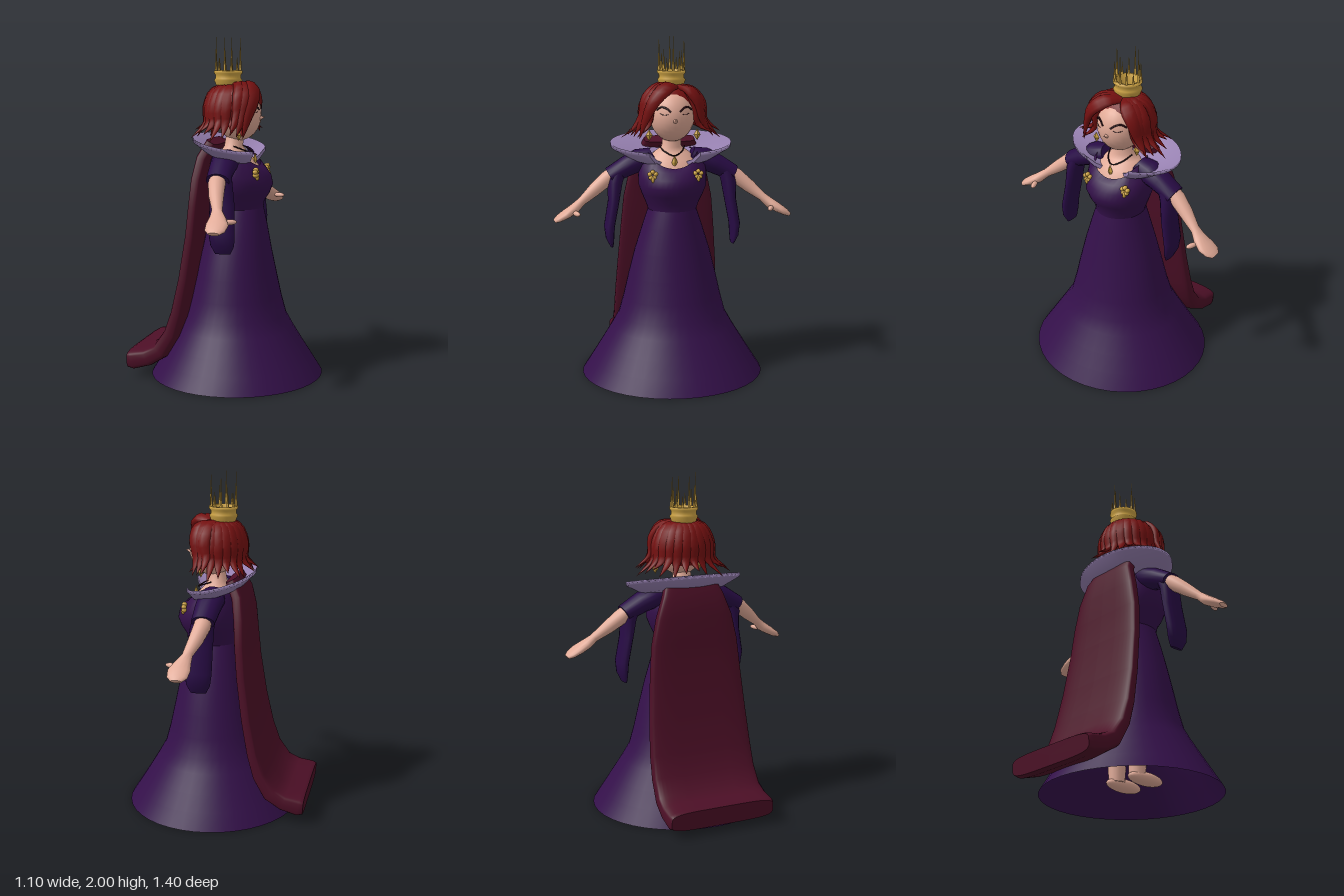
import * as THREE from 'three';

const V = (x, y, z) => new THREE.Vector3(x, y, z);
const mat = (name, color, side = THREE.FrontSide) => {
  const m = new THREE.MeshStandardMaterial({ color, side });
  m.name = name;
  return m;
};

// One closed cross-section: centre c, half-axes u and v, p < 1 squares it off
function ring(c, u, v, n = 16, p = 1) {
  const f = (t) => Math.sign(t) * Math.abs(t) ** p;
  return Array.from({ length: n }, (_, i) => {
    const a = (i / n) * Math.PI * 2;
    return c.clone().addScaledVector(u, f(Math.cos(a))).addScaledVector(v, f(Math.sin(a)));
  });
}

// Skin over a row of cross-sections, turned so that faces point outwards
function loft(rings, caps = true) {
  const n = rings[0].length, pts = rings.flat(), idx = [];
  for (let r = 0; r + 1 < rings.length; r++)
    for (let i = 0; i < n; i++) {
      const a = r * n + i, b = r * n + ((i + 1) % n);
      idx.push(a, b, a + n, b, b + n, a + n);
    }
  if (caps) {
    [0, rings.length - 1].forEach((r, end) => {
      const base = pts.length;
      const mid = rings[r].reduce((s, q) => s.add(q), V(0, 0, 0)).divideScalar(n);
      pts.push(...rings[r].map((q) => q.clone()), mid);
      for (let i = 0; i < n; i++) {
        const a = base + i, b = base + ((i + 1) % n);
        if (end) idx.push(base + n, a, b); else idx.push(base + n, b, a);
      }
    });
  }
  const centre = pts.reduce((s, q) => s.add(q), V(0, 0, 0)).divideScalar(pts.length);
  let volume = 0;
  for (let i = 0; i < idx.length; i += 3) {
    const [a, b, c] = [0, 1, 2].map((k) => pts[idx[i + k]].clone().sub(centre));
    volume += a.dot(b.cross(c));
  }
  if (volume < 0) idx.reverse();
  const g = new THREE.BufferGeometry().setFromPoints(pts);
  g.setIndex(idx);
  g.computeVertexNormals();
  return g;
}

// Level elliptical sections: [y, centre x, half depth, half width]
const stack = (rows, n = 40) => rows.map(([y, x, rx, rz]) => ring(V(x, y, 0), V(rx, 0, 0), V(0, 0, rz), n));

export function createModel() {
  const model = new THREE.Group();
  model.name = 'queen';
  const purple = mat('gown purple', 0x34104a, THREE.DoubleSide);
  const sleevePurple = mat('sleeve purple', 0x280b45);
  const wine = mat('cape wine', 0x4c0f26);
  const lavender = mat('collar lavender', 0x9680b0, THREE.DoubleSide);
  const skin = mat('skin', 0xe2ab98);
  const red = mat('hair red', 0x741010);
  const gold = mat('gold', 0xcda344);
  const dark = mat('dark line', 0x260810);
  const add = (name, geo, m, parent = model) => {
    const mesh = new THREE.Mesh(geo, m);
    mesh.name = name;
    parent.add(mesh);
    return mesh;
  };
  const ball = (name, m, x, y, z, rx, ry, rz) => {
    const b = add(name, new THREE.SphereGeometry(1, 24, 16), m);
    b.position.set(x, y, z);
    b.scale.set(rx, ry, rz);
    return b;
  };
  const tube = (name, pts, r, m) => add(name, new THREE.TubeGeometry(new THREE.CatmullRomCurve3(pts), 20, r, 6), m);

  // Open bell skirt
  add('skirt', loft(stack([
    [0, 0.043, 0.51, 0.54], [0.09, 0.042, 0.455, 0.483], [0.18, 0.04, 0.4, 0.427], [0.28, 0.037, 0.343, 0.365],
    [0.36, 0.036, 0.3, 0.32], [0.47, 0.038, 0.268, 0.29], [0.6, 0.04, 0.238, 0.26], [0.75, 0.042, 0.205, 0.222],
    [0.9, 0.045, 0.176, 0.175], [1, 0.045, 0.155, 0.142],
  ]), false), purple);

  // Bodice, with a neckline that rises to the shoulders and back
  const bodice = stack([
    [0.99, 0.045, 0.153, 0.14], [1.04, 0.045, 0.158, 0.158], [1.09, 0.055, 0.18, 0.18],
    [1.14, 0.06, 0.194, 0.198], [1.19, 0.055, 0.188, 0.2], [1.23, 0.045, 0.165, 0.195], [1.25, 0.035, 0.14, 0.175],
  ]);
  [[5, 0.03], [6, 0.09]].forEach(([r, lift]) => bodice[r].forEach((q, i) => {
    const c = Math.cos((i / 40) * Math.PI * 2);
    q.y += lift * (c > 0 ? 1 - c * c : 1);
    if (r === 6 && c < 0.7) q.z *= 0.85;
  }));
  add('bodice', loft(bodice, false), purple);

  // Chest and neck
  add('chestAndNeck', loft(stack([
    [1.18, 0.04, 0.15, 0.16], [1.24, 0.035, 0.138, 0.165], [1.29, 0.025, 0.11, 0.14],
    [1.33, 0.02, 0.075, 0.1], [1.36, 0.02, 0.055, 0.058], [1.45, 0.03, 0.05, 0.05],
  ], 28)), skin);

  // Cape: [x, y, half width, half thickness] from shoulders to train
  const path = [
    [-0.08, 1.39, 0.15, 0.035], [-0.125, 1.3, 0.19, 0.038], [-0.145, 1.18, 0.235, 0.038], [-0.155, 1.03, 0.268, 0.036],
    [-0.17, 0.85, 0.285, 0.036], [-0.205, 0.6, 0.305, 0.038], [-0.245, 0.4, 0.318, 0.042], [-0.285, 0.27, 0.322, 0.048],
    [-0.35, 0.165, 0.326, 0.056], [-0.43, 0.12, 0.33, 0.06], [-0.52, 0.1, 0.332, 0.066], [-0.548, 0.098, 0.322, 0.056],
  ];
  add('cape', loft(path.map(([x, y, w, t], i) => {
    const a = path[Math.max(i - 1, 0)], b = path[Math.min(i + 1, path.length - 1)];
    const n = V(b[1] - a[1], a[0] - b[0], 0).normalize().multiplyScalar(t);
    return ring(V(x, y, 0), n, V(0, 0, w), 36, 0.45);
  })), wine);

  // Flared collar, open at the front
  const collar = [];
  for (let i = 0; i <= 40; i++) {
    const a = THREE.MathUtils.degToRad(24 + (i / 40) * 312), c = Math.cos(a), s = Math.sin(a);
    const inner = V(0.025 + 0.085 * c, 1.3 - 0.035 * c, 0.1 * s);
    const outer = V(-0.005 + 0.197 * c, 1.385 - 0.045 * c, 0.357 * s);
    const mid = inner.clone().lerp(outer, 0.6).add(V(0, -0.015, 0));
    const low = (p, d) => p.clone().add(V(0, -d, 0));
    collar.push([inner, mid, outer, low(outer, 0.022), low(mid, 0.028), low(inner, 0.02)]);
  }
  add('collar', loft(collar), lavender);

  // Head and face
  const headX = (y, z) => 0.05 + 0.135 * Math.sqrt(Math.max(0, 1 - ((y - 1.545) / 0.152) ** 2 - (z / 0.13) ** 2));
  ball('head', skin, 0.05, 1.545, 0, 0.135, 0.152, 0.13);
  const nose = add('nose', new THREE.ConeGeometry(0.016, 0.04, 10), skin);
  nose.position.set(0.192, 1.53, 0);
  nose.rotation.z = -1.3;

  // Parts that come in pairs
  for (const s of [1, -1]) {
    const side = s > 0 ? 'left' : 'right';
    const sections = (rows, v) => loft(rows.map(([x, y, z, ru, rv]) =>
      ring(V(x, y, z * s), V(ru, 0, 0), V(0, v[0], v[1] * s).multiplyScalar(rv), 16)));

    tube(side + 'Brow', [[1.587, 0.1], [1.604, 0.075], [1.598, 0.05], [1.578, 0.025]]
      .map(([y, z]) => V(headX(y, z) + 0.001, y, z * s)), 0.0055, dark);
    tube(side + 'Lash', [[1.567, 0.085], [1.56, 0.062], [1.565, 0.04]]
      .map(([y, z]) => V(headX(y, z) - 0.001, y, z * s)), 0.002, dark);

    add(side + 'Sleeve', sections([
      [0.02, 1.31, 0.11, 0.06, 0.05], [0.02, 1.285, 0.18, 0.08, 0.07], [0.025, 1.25, 0.26, 0.075, 0.062],
      [0.03, 1.195, 0.365, 0.068, 0.05],
    ], [0.85, 0.5]), sleevePurple);
    add(side + 'SleeveDrape', sections([
      [0.03, 1.23, 0.315, 0.066, 0.055], [0.04, 1.16, 0.335, 0.07, 0.045], [0.05, 1.05, 0.345, 0.074, 0.034],
      [0.055, 0.9, 0.372, 0.077, 0.032], [0.058, 0.83, 0.37, 0.07, 0.025], [0.058, 0.78, 0.36, 0.045, 0.01],
    ], [0, 1]), sleevePurple);
    add(side + 'ArmAndHand', sections([
      [0.025, 1.24, 0.3, 0.045, 0.04], [0.03, 1.175, 0.385, 0.05, 0.045], [0.05, 1.115, 0.46, 0.043, 0.038],
      [0.078, 1.055, 0.535, 0.03, 0.025], [0.095, 1.02, 0.575, 0.047, 0.03], [0.105, 0.99, 0.625, 0.064, 0.027],
      [0.105, 0.965, 0.668, 0.058, 0.021], [0.105, 0.95, 0.692, 0.032, 0.012],
    ], [0.8, 0.6]), skin);
    const thumb = ball(side + 'Thumb', skin, 0.16, 1.0, 0.568 * s, 0.038, 0.015, 0.016);
    thumb.rotation.y = 0.35 * s;

    const leg = add(side + 'Leg', new THREE.CylinderGeometry(0.065, 0.048, 0.6, 14), skin);
    leg.position.set(0.01, 0.38, 0.085 * s);
    ball(side + 'Foot', skin, 0.065, 0.075, 0.09 * s, 0.125, 0.038, 0.05);

    // Brooch cluster and earring
    for (let k = 0; k < 5; k++) {
      const a = (k / 5) * Math.PI * 2;
      ball(side + 'BroochBead', gold, 0.19, 1.22 + 0.018 * Math.cos(a), (0.132 + 0.018 * Math.sin(a)) * s, 0.016, 0.013, 0.013);
    }
    ball(side + 'BroochDrop', gold, 0.198, 1.195, 0.132 * s, 0.012, 0.018, 0.01);
    const ear = add(side + 'Earring', new THREE.OctahedronGeometry(0.026), gold);
    ear.position.set(0.09, 1.435, 0.14 * s);
    ear.scale.set(0.6, 1.3, 0.8);
  }

  // Necklace
  tube('necklaceCord', [V(0.04, 1.365, 0.075), V(0.1, 1.34, 0.05), V(0.135, 1.32, 0), V(0.1, 1.34, -0.05), V(0.04, 1.365, -0.075)], 0.004, dark);
  const pendant = add('pendant', new THREE.OctahedronGeometry(0.025), gold);
  pendant.position.set(0.15, 1.285, 0);
  pendant.scale.set(0.5, 1.6, 0.7);

  // Hair: scalp plus tapering locks that sweep down and flick out
  ball('scalp', red, 0.01, 1.585, 0, 0.143, 0.145, 0.155);
  const lock = (name, pts, width) => {
    const curve = new THREE.CatmullRomCurve3(pts), rings = [];
    for (let i = 0; i <= 12; i++) {
      const t = i / 12, c = curve.getPoint(t), tan = curve.getTangent(t);
      const out = V(c.x - 0.01, (c.y - 1.55) * 0.6, c.z);
      const u = tan.clone().cross(out).normalize(), v = u.clone().cross(tan);
      const w = width * Math.max(0.02, Math.min(1, 0.45 + t * 1.8) * (1 - t ** 3));
      rings.push(ring(c, u.multiplyScalar(w), v.multiplyScalar(w * 0.55), 8));
    }
    add(name, loft(rings), red);
  };
  for (let i = 0; i < 17; i++) {
    const a = THREE.MathUtils.degToRad(52 + i * 16), c = Math.cos(a), s = Math.sin(a);
    const f = 1 + 0.1 * Math.sin(i * 2.4), drop = 0.025 * Math.sin(i * 1.7);
    lock('hairLock', [
      V(0.01 + 0.03 * c, 1.715, 0.03 * s), V(0.02 + 0.115 * c, 1.685, 0.12 * s), V(0.01 + 0.15 * c, 1.59, 0.172 * s),
      V(0.005 + 0.15 * c, 1.5, 0.185 * s), V(0.21 * c * f, 1.43 + drop, 0.27 * s * f),
    ], 0.045);
  }
  // Front fringe, swept to both sides of an off-centre parting
  for (let k = 0; k < 3; k++) {
    lock('fringeLeft', [V(0.06 - k * 0.03, 1.71, -0.02), V(0.14 - k * 0.03, 1.715, 0.04 + k * 0.015),
      V(0.17 - k * 0.035, 1.65, 0.115 + k * 0.02), V(0.15 - k * 0.03, 1.54, 0.165 + k * 0.01), V(0.13 - k * 0.03, 1.42 + k * 0.01, 0.2 + k * 0.03)], 0.05);
    lock('fringeRight', [V(0.05 - k * 0.03, 1.71, -0.03), V(0.11 - k * 0.03, 1.695, -0.09 - k * 0.01),
      V(0.125 - k * 0.03, 1.62, -0.145 - k * 0.015), V(0.11 - k * 0.03, 1.52, -0.17 - k * 0.012), V(0.12 - k * 0.03, 1.43 + k * 0.01, -0.23 - k * 0.025)], 0.046);
  }

  // Crown: flared band and tall thin spikes
  const crown = new THREE.Group();
  crown.name = 'crown';
  crown.position.set(-0.015, 0, -0.005);
  model.add(crown);
  const profile = [[0.05, 1.69], [0.06, 1.69], [0.083, 1.745], [0.074, 1.755], [0.074, 1.775], [0.083, 1.785], [0.083, 1.8], [0.064, 1.8], [0.058, 1.74], [0.05, 1.69]];
  add('crownBand', new THREE.LatheGeometry(profile.map(([r, y]) => new THREE.Vector2(r, y)), 32), gold, crown);
  for (let i = 0; i < 12; i++) {
    const a = (i / 12) * Math.PI * 2, h = i % 3 === 0 ? 0.2 : i % 3 === 1 ? 0.08 : 0.12;
    const spike = add('crownSpike', new THREE.ConeGeometry(0.008, h, 6), gold, crown);
    spike.position.set(0.073 * Math.cos(a), 1.798 + h / 2, 0.073 * Math.sin(a));
  }
  return model;
}
